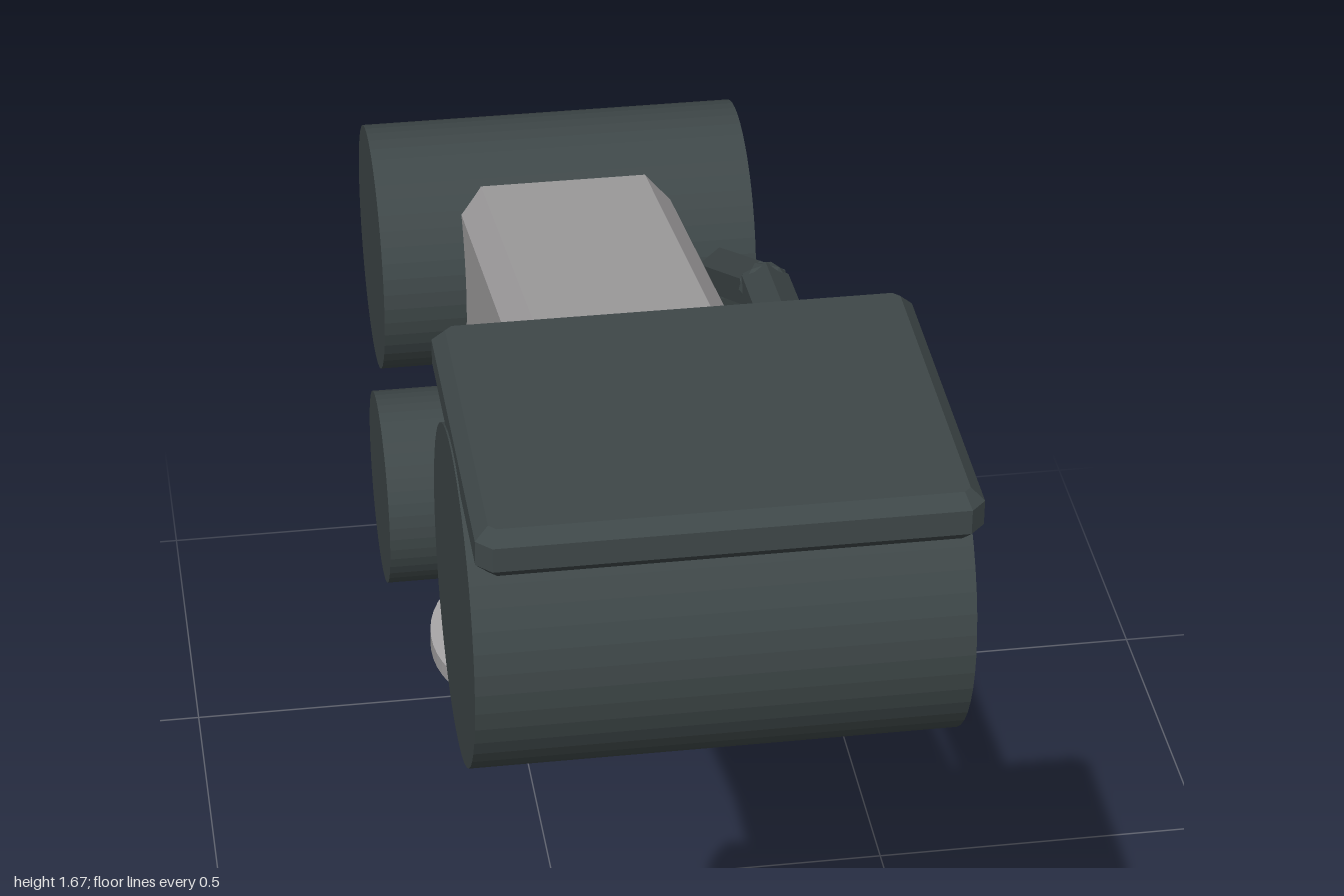
import * as THREE from 'three';

const V = (x, y, z) => new THREE.Vector3(x, y, z);
const UP = V(0, 1, 0);

export function createModel() {
  const arm = new THREE.Group();
  arm.name = 'roboticArm';

  const material = (name, color, flatShading = false) => {
    const m = new THREE.MeshStandardMaterial({ color, flatShading });
    m.name = name;
    return m;
  };
  const dark = material('charcoal', 0x3e4748, true);
  const grey = material('lightGrey', 0xa3a1a2, true);
  const yellow = material('ochre', 0xd0a94c, true);
  const cyan = material('cyan', 0x4fb4cb, true);

  const add = (name, geometry, mat) => {
    const mesh = new THREE.Mesh(geometry, mat);
    mesh.name = name;
    arm.add(mesh);
    return mesh;
  };
  // Centre a mesh between two points with its y axis along them
  const span = (mesh, a, b) => {
    mesh.position.copy(a).lerp(b, 0.5);
    mesh.quaternion.setFromUnitVectors(UP, b.clone().sub(a).normalize());
    return mesh;
  };
  const rod = (name, a, b, r0, r1, sides, mat) =>
    span(add(name, new THREE.CylinderGeometry(r1, r0, a.distanceTo(b), sides), mat), a, b);

  // Rectangle with cut corners
  const cutRect = (w, h, c) => {
    const x = w / 2, y = h / 2;
    return new THREE.Shape([
      [x - c, -y], [x, -y + c], [x, y - c], [x - c, y],
      [-x + c, y], [-x, y - c], [-x, -y + c], [-x + c, -y],
    ].map(([px, py]) => new THREE.Vector2(px, py)));
  };
  const beam = (name, a, b, w, h, c) => {
    const len = a.distanceTo(b);
    const g = new THREE.ExtrudeGeometry(cutRect(w, h, c), { depth: len, bevelEnabled: false });
    g.translate(0, 0, -len / 2).rotateX(-Math.PI / 2);
    return span(add(name, g, grey), a, b);
  };

  const shoulder = V(0, 1.455, 0.78);
  const elbow = V(0, 1.175, -0.45);
  const wrist = V(0, 0.56, -0.785);

  // Joint drums lying across the arm
  for (const [name, p, r, half] of [
    ['shoulderDrum', shoulder, 0.194, 0.277],
    ['elbowDrum', elbow, 0.165, 0.25],
    ['wristDrum', wrist, 0.143, 0.22],
  ]) {
    const g = new THREE.CylinderGeometry(r, r, half * 2, 48).rotateZ(Math.PI / 2);
    add(name, g, dark).position.copy(p);
  }

  // Mounting plate with bevelled edges
  const plate = new THREE.ExtrudeGeometry(cutRect(0.52, 0.41, 0.008), {
    depth: 0.03, bevelThickness: 0.015, bevelSize: 0.015, bevelSegments: 1,
  });
  plate.translate(0, 0, -0.015).rotateX(-Math.PI / 2);
  add('mountingPlate', plate, dark).position.set(0, 1.65, 0.78);

  // Arm beams and the band round the forearm
  beam('upperArm', shoulder, elbow, 0.28, 0.225, 0.03);
  beam('forearm', elbow, wrist, 0.24, 0.2, 0.03);
  const along = wrist.clone().sub(elbow).normalize();
  const at = (p, d, t) => p.clone().addScaledVector(d, t);
  span(add('forearmBand', new THREE.BoxGeometry(0.27, 0.155, 0.22), yellow),
    at(elbow, along, 0.275), at(elbow, along, 0.43));

  // Piston under the upper arm
  const pistonTop = V(0, 1.228, 0.598);
  const pistonEnd = V(0, 1.098, 0.005);
  rod('pistonSleeve', pistonTop, pistonEnd, 0.066, 0.066, 6, dark);
  rod('pistonRod', pistonEnd.clone().lerp(pistonTop, 0.1), V(0, 1.033, -0.272), 0.031, 0.031, 6, grey);

  // Cable on the left side, running through the elbow
  const cable = [V(0.195, 1.455, 0.7), V(0.222, 1.303, -0.065), V(0.2, 1.165, -0.345),
    V(0.2, 1.15, -0.455), V(0.168, 0.61, -0.805)];
  for (let i = 0; i < cable.length - 1; i++) {
    rod('cableSegment', cable[i], cable[i + 1], 0.035, 0.035, 6, dark);
    if (i > 0) add('cableBend', new THREE.IcosahedronGeometry(0.034, 1), dark).position.copy(cable[i]);
  }

  // Tool head below the wrist
  const toolDir = V(0, -0.981, -0.194);
  const tool = (name, t0, t1, r0, r1, sides, mat) =>
    rod(name, at(wrist, toolDir, t0), at(wrist, toolDir, t1), r0, r1, sides, mat);
  tool('toolBody', 0, 0.268, 0.12, 0.12, 40, dark);
  tool('toolTaper', 0.268, 0.345, 0.12, 0.092, 40, dark);
  tool('toolFlange', 0.332, 0.362, 0.143, 0.143, 48, grey);
  tool('nozzle', 0.36, 0.53, 0.062, 0.03, 24, grey);
  tool('nozzleTip', 0.53, 0.545, 0.03, 0.028, 16, cyan);
  tool('nozzleTipEnd', 0.545, 0.562, 0.028, 0.014, 16, cyan);

  return arm;
}
